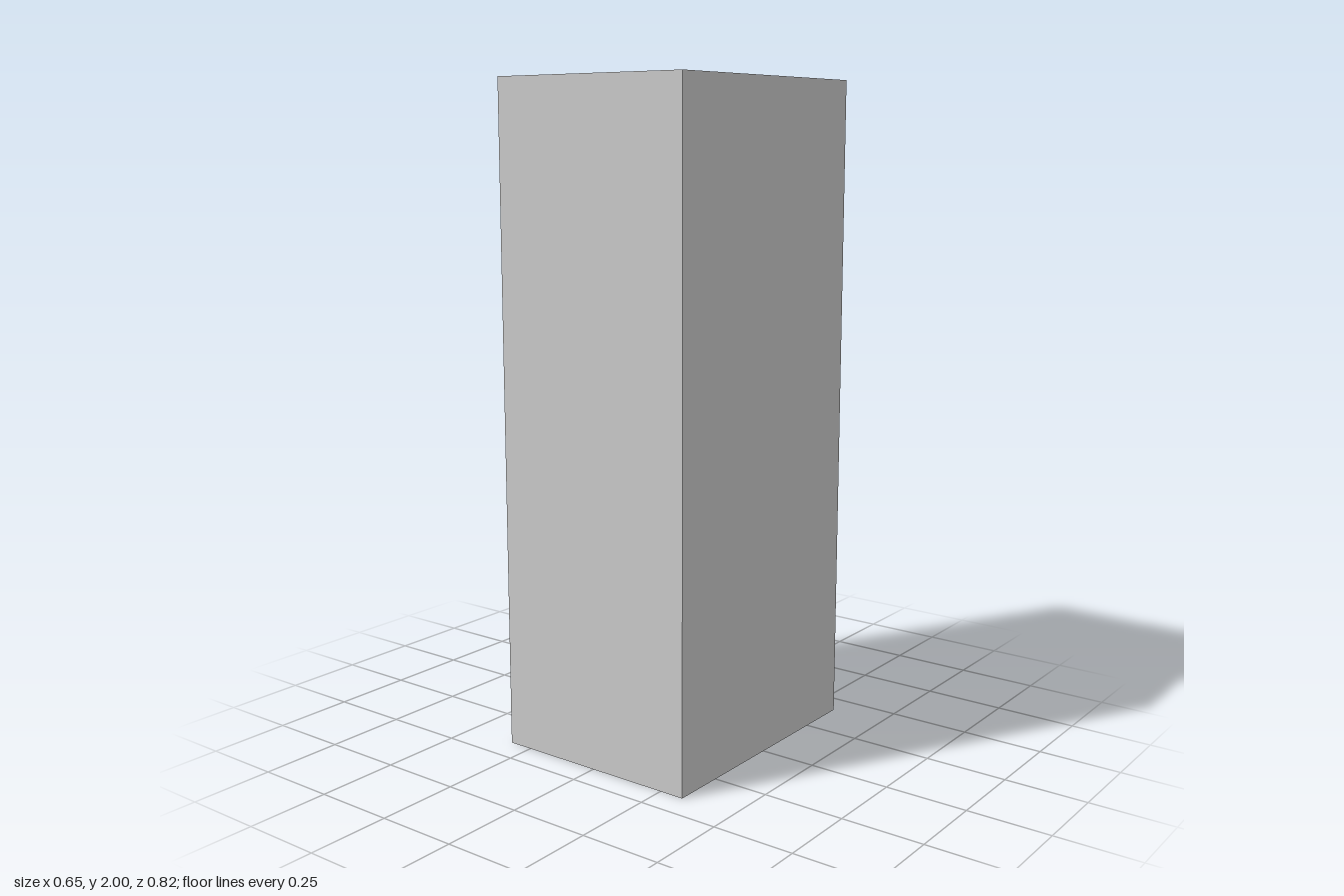
import * as THREE from 'three';

const W = 0.654, H = 2, D = 0.824;       // overall cabinet
const WALL = 0.03;                       // side and front thickness
const BAY_BOTTOM = 0.567, BAY_TOP = 1.958;

const material = new THREE.MeshStandardMaterial({ color: 0xcccccc, flatShading: true });

function addMesh(group, name, geometry, x, y, z) {
  const mesh = new THREE.Mesh(geometry, material);
  mesh.name = name;
  mesh.position.set(x, y, z);
  group.add(mesh);
}

function rectangle(Type, x0, y0, x1, y1) {
  const r = new Type();
  r.moveTo(x0, y0);
  r.lineTo(x1, y0);
  r.lineTo(x1, y1);
  r.lineTo(x0, y1);
  r.closePath();
  return r;
}

export function createModel() {
  const model = new THREE.Group();
  model.name = 'rackCabinet';

  // Cabinet body: solid base, with a tall bay that opens at the back
  const outline = rectangle(THREE.Shape, -W / 2, 0, W / 2, H);
  outline.holes.push(rectangle(THREE.Path, -W / 2 + WALL, BAY_BOTTOM, W / 2 - WALL, BAY_TOP));
  const body = new THREE.ExtrudeGeometry(outline, { depth: D - WALL, bevelEnabled: false });
  addMesh(model, 'cabinetBody', body, 0, 0, -D / 2);

  // Plain panel closing the front
  addMesh(model, 'frontPanel', new THREE.BoxGeometry(W, H, WALL), 0, H / 2, D / 2 - WALL / 2);

  // Rack units, slightly recessed and unevenly spaced in the bay
  const unitWidth = 0.565, unitHeight = 0.18, unitDepth = 0.72, recess = 0.01;
  const unit = new THREE.BoxGeometry(unitWidth, unitHeight, unitDepth);
  [1.762, 1.496, 1.288, 0.936, 0.707].forEach((y, i) => {
    addMesh(model, `rackUnit${i + 1}`, unit, -0.0075, y, -D / 2 + recess + unitDepth / 2);
  });

  return model;
}
